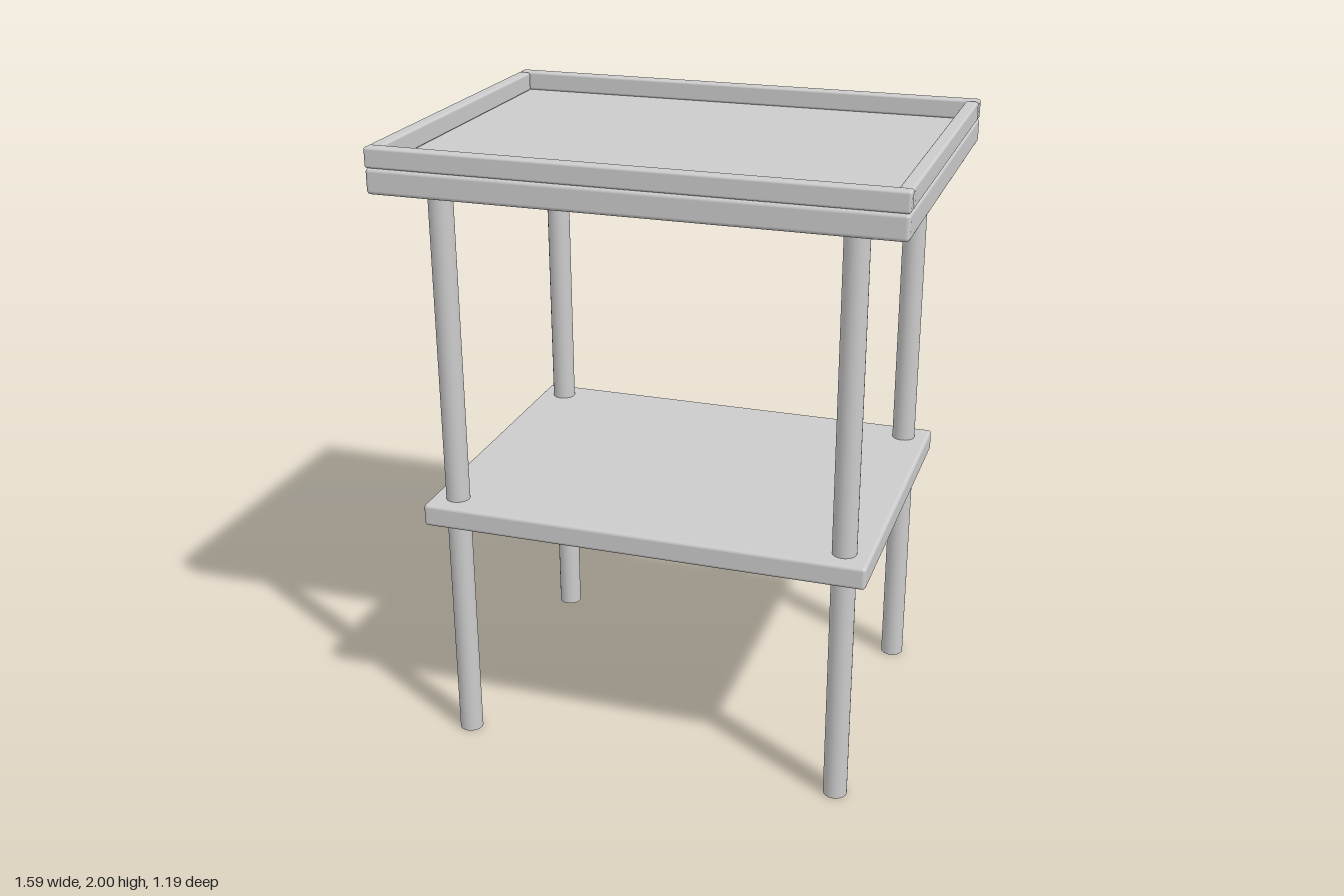
import * as THREE from 'three';
import { RoundedBoxGeometry } from 'three/addons/geometries/RoundedBoxGeometry.js';

export function createModel() {
  const group = new THREE.Group();
  const material = new THREE.MeshStandardMaterial({ color: 0xcccccc });

  const add = (name, geometry, x, y, z) => {
    const mesh = new THREE.Mesh(geometry, material);
    mesh.name = name;
    mesh.position.set(x, y, z);
    group.add(mesh);
  };
  // Board with softened edges, given by its bottom and top heights
  const board = (name, w, d, y0, y1, radius, x = 0, z = 0) =>
    add(name, new RoundedBoxGeometry(w, y1 - y0, d, 3, radius), x, (y0 + y1) / 2, z);

  // Table top and lower shelf
  board('tableTop', 1.59, 1.19, 1.86, 1.938, 0.012);
  board('lowerShelf', 1.42, 1.08, 0.777, 0.85, 0.012);

  // Raised rim: long rails front and back, short rails fitted between them
  for (const s of [-1, 1]) {
    board(s > 0 ? 'frontRail' : 'backRail', 1.59, 0.042, 1.938, 2, 0.008, 0, s * 0.574);
    board(s > 0 ? 'leftRail' : 'rightRail', 0.042, 1.096, 1.938, 2, 0.008, s * 0.774, 0);
  }

  // Four round legs running through the shelf up to the top
  const legHeight = 1.87;
  const legGeometry = new THREE.CylinderGeometry(0.038, 0.038, legHeight, 20);
  for (const x of [-1, 1]) {
    for (const z of [-1, 1]) {
      const name = (z > 0 ? 'front' : 'back') + (x > 0 ? 'Left' : 'Right') + 'Leg';
      add(name, legGeometry, x * 0.627, legHeight / 2, z * 0.456);
    }
  }
  return group;
}
